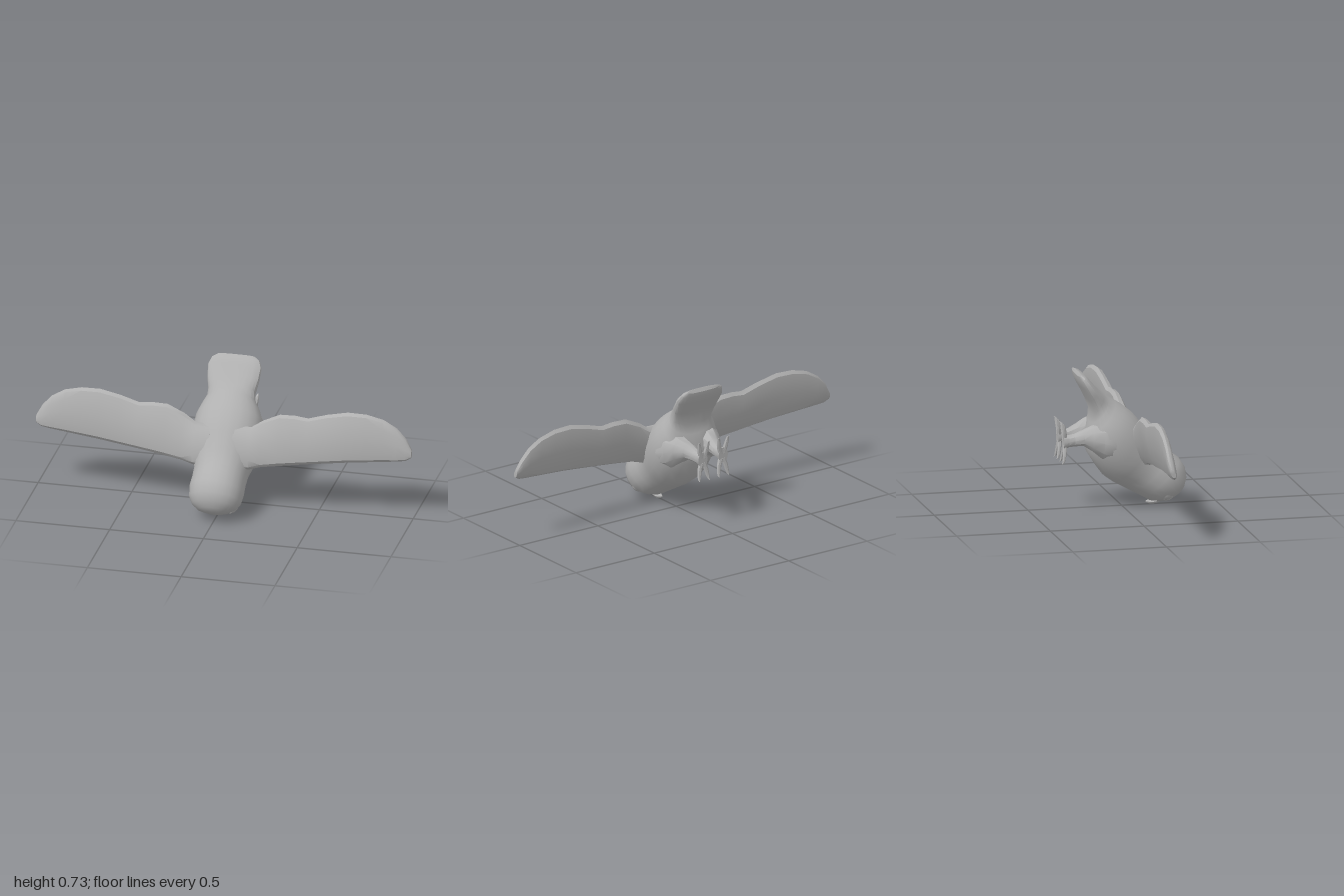
import * as THREE from 'three';
import { toCreasedNormals } from 'three/addons/utils/BufferGeometryUtils.js';

const plumage = new THREE.MeshStandardMaterial({ color: 0xb0b0b0 });
plumage.name = 'grey plumage';
const V = (x, y, z) => new THREE.Vector3(x, y, z);

// Skin over closed rings; each ring is { c: centre, u, v: half-axis vectors, p: roundness }
function loft(rings, sides, crease = 0.6) {
  const pos = [], idx = [];
  for (const { c, u, v, p = 1 } of rings) {
    for (let i = 0; i < sides; i++) {
      const a = (i / sides) * Math.PI * 2;
      const round = (t) => Math.sign(t) * Math.pow(Math.abs(t), p);
      const q = c.clone().addScaledVector(u, round(Math.cos(a))).addScaledVector(v, round(Math.sin(a)));
      pos.push(q.x, q.y, q.z);
    }
  }
  for (let r = 0; r < rings.length - 1; r++) {
    for (let i = 0; i < sides; i++) {
      const j = (i + 1) % sides, a = r * sides + i, b = r * sides + j;
      idx.push(a, b, b + sides, a, b + sides, a + sides);
    }
  }
  // End caps
  const last = rings.length - 1;
  for (const r of [0, last]) {
    const n = pos.length / 3;
    pos.push(rings[r].c.x, rings[r].c.y, rings[r].c.z);
    for (let i = 0; i < sides; i++) {
      const a = r * sides + i, b = r * sides + ((i + 1) % sides);
      if (r === 0) idx.push(n, b, a); else idx.push(n, a, b);
    }
  }
  // Turn the skin outwards if u x v points against the path
  const dir = rings[last].c.clone().sub(rings[0].c);
  const mid = rings[last >> 1];
  if (mid.u.clone().cross(mid.v).dot(dir) < 0) {
    for (let i = 0; i < idx.length; i += 3) [idx[i + 1], idx[i + 2]] = [idx[i + 2], idx[i + 1]];
  }
  const g = new THREE.BufferGeometry();
  g.setAttribute('position', new THREE.Float32BufferAttribute(pos, 3));
  g.setIndex(idx);
  return toCreasedNormals(g, crease);
}

function part(name, geometry) {
  const m = new THREE.Mesh(geometry, plumage);
  m.name = name;
  return m;
}

// Head, body and tail in one skin: back z, y, belly z, y, half width
function buildBody() {
  const s = [
    [0.318, 0.075, 0.268, 0.036, 0.035], [0.332, 0.105, 0.235, 0.024, 0.08],
    [0.34, 0.15, 0.19, 0.018, 0.117], [0.332, 0.195, 0.145, 0.024, 0.137],
    [0.30, 0.245, 0.10, 0.05, 0.143], [0.25, 0.28, 0.05, 0.077, 0.14],
    [0.20, 0.31, 0, 0.105, 0.142], [0.15, 0.365, -0.05, 0.132, 0.16],
    [0.10, 0.44, -0.10, 0.168, 0.178], [0.05, 0.50, -0.14, 0.222, 0.185],
    [0, 0.54, -0.185, 0.295, 0.178], [-0.04, 0.565, -0.20, 0.38, 0.155],
    [-0.08, 0.59, -0.172, 0.455, 0.13], [-0.11, 0.613, -0.163, 0.51, 0.125],
    [-0.15, 0.65, -0.188, 0.58, 0.138], [-0.19, 0.697, -0.225, 0.65, 0.143],
    [-0.215, 0.723, -0.243, 0.69, 0.128], [-0.236, 0.731, -0.246, 0.713, 0.1],
  ];
  return part('body', loft(s.map(([bz, by, fz, fy, w], i) => ({
    c: V(0, (by + fy) / 2, (bz + fz) / 2),
    u: V(w, 0, 0),
    v: V(0, (by - fy) / 2, (bz - fz) / 2),
    p: i > 12 ? 0.75 : 0.95,
  })), 22));
}

// Wing: x, leading edge y, z, trailing edge y, z, half thickness
function buildWing(side) {
  const s = [
    [0.06, 0.23, 0.12, 0.45, 0.05, 0.05], [0.15, 0.243, 0.115, 0.455, 0.045, 0.045],
    [0.21, 0.26, 0.11, 0.495, 0.04, 0.036], [0.30, 0.273, 0.104, 0.536, 0.037, 0.033],
    [0.38, 0.284, 0.098, 0.538, 0.037, 0.032], [0.45, 0.293, 0.092, 0.53, 0.037, 0.031],
    [0.55, 0.305, 0.086, 0.56, 0.035, 0.031], [0.66, 0.318, 0.078, 0.583, 0.033, 0.031],
    [0.76, 0.327, 0.07, 0.58, 0.03, 0.029], [0.85, 0.335, 0.062, 0.557, 0.026, 0.026],
    [0.92, 0.341, 0.056, 0.515, 0.024, 0.023], [0.97, 0.348, 0.052, 0.46, 0.024, 0.02],
    [1.0, 0.365, 0.045, 0.405, 0.03, 0.012],
  ];
  return part('wing', loft(s.map(([x, ly, lz, ty, tz, t]) => {
    const u = V(0, (ty - ly) / 2, (tz - lz) / 2);
    return {
      c: V(side * x, (ly + ty) / 2, (lz + tz) / 2), u,
      v: V(0, -u.z, u.y).normalize().multiplyScalar(t), p: 0.85,
    };
  }), 12));
}

// Tapered limb through [x, y, z, half width, half depth], cut by planes facing 'axis'
function limb(side, s, axis, sides) {
  return loft(s.map(([x, y, z, a, b]) => ({
    c: V(side * x, y, z), u: V(a, 0, 0), v: axis === 'z' ? V(0, b, 0) : V(0, 0, b),
  })), sides);
}

function buildLeg(side) {
  const leg = new THREE.Group();
  leg.name = 'leg';
  leg.add(part('thigh', limb(side, [
    [0.1, 0.36, -0.07, 0.085, 0.1], [0.1, 0.372, -0.13, 0.08, 0.098],
    [0.092, 0.385, -0.18, 0.062, 0.068], [0.078, 0.389, -0.225, 0.043, 0.042],
    [0.069, 0.377, -0.27, 0.031, 0.033], [0.066, 0.372, -0.30, 0.028, 0.032],
    [0.065, 0.37, -0.328, 0.03, 0.042],
  ], 'z', 10)));
  // Two toes up and two toes down, each ending in a hooked claw
  for (const up of [1, -1]) {
    for (const out of [1, -1]) {
      const rows = [[0, 0.012, -0.318, 0.014, 0.012], [0.012, 0.045, -0.322, 0.014, 0.01],
        [0.019, 0.08, -0.327, 0.011, 0.009], [0.022, 0.1, -0.331, 0.007, 0.006], [0.024, 0.108, -0.339, 0.002, 0.002]];
      leg.add(part('toe', limb(side, rows.map(([dx, dy, z, a, b]) =>
        [0.062 + out * (dx + 0.007), 0.365 + up * dy, z, a, b]), 'y', 7)));
    }
  }
  return leg;
}

function buildEye(side) {
  const eye = new THREE.Group();
  eye.name = 'eye';
  const lid = part('eyelid', new THREE.TorusGeometry(0.03, 0.007, 6, 18));
  const ball = part('eyeball', new THREE.SphereGeometry(0.029, 16, 10));
  ball.scale.z = 0.6;
  eye.add(lid, ball);
  eye.position.set(side * 0.096, 0.062, 0.22);
  eye.lookAt(side * 0.85, -0.55, 0.27);
  return eye;
}

export function createModel() {
  const bird = new THREE.Group();
  bird.name = 'flyingBird';
  bird.add(buildBody());
  for (const side of [1, -1]) bird.add(buildWing(side), buildLeg(side), buildEye(side));

  // Small hooked beak under the head
  bird.add(part('beak', loft([
    [0.022, 0.20, 0.022, 0.012], [0.016, 0.175, 0.024, 0.014],
    [0.014, 0.15, 0.018, 0.013], [0.015, 0.135, 0.009, 0.008], [0.016, 0.127, 0.003, 0.003],
  ].map(([y, z, w, h]) => ({ c: V(0, y, z), u: V(w, 0, 0), v: V(0, h, 0) })), 8)));
  return bird;
}
